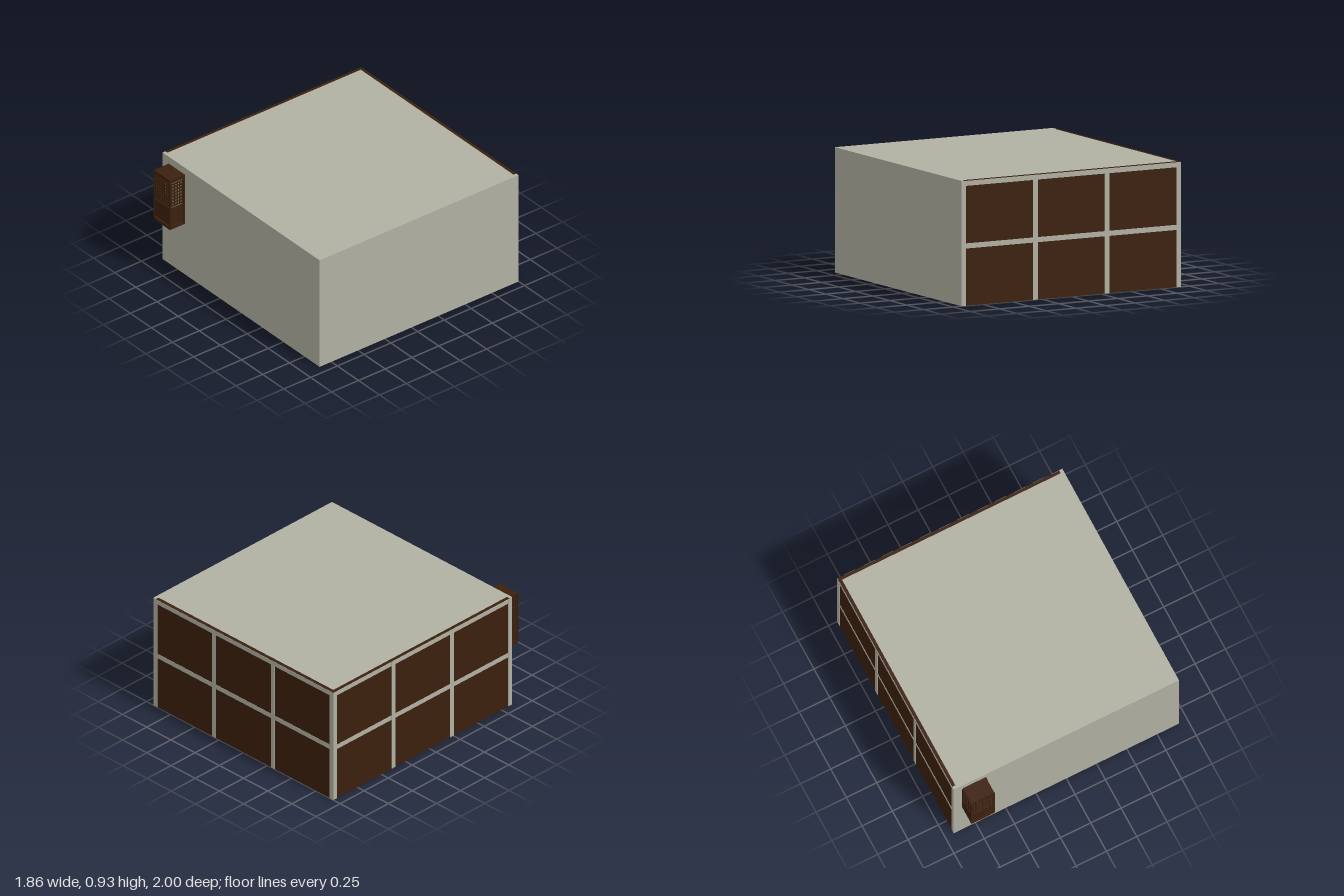
import * as THREE from 'three';

export function createModel() {
  const model = new THREE.Group();
  const plaster = new THREE.MeshStandardMaterial({ color: 0xb0b0a2 });
  plaster.name = 'greyPlaster';
  const wood = new THREE.MeshStandardMaterial({ color: 0x3b200d });
  wood.name = 'darkWood';

  // Box given by its minimum and maximum corners
  function box(name, mat, x0, x1, y0, y1, z0, z1, parent = model) {
    const mesh = new THREE.Mesh(new THREE.BoxGeometry(x1 - x0, y1 - y0, z1 - z0), mat);
    mesh.position.set((x0 + x1) / 2, (y0 + y1) / 2, (z0 + z1) / 2);
    mesh.name = name;
    parent.add(mesh);
    return mesh;
  }

  const W = 0.93, H = 0.93, B = -1, F = 0.86, T = 0.027, skin = 0.002;

  // Plain walls and roof, open underneath
  box('frontWall', plaster, -W + skin, W, 0, H, F - T, F);
  box('rightWall', plaster, W - T, W, 0, H, B + skin, F - T);
  box('roof', plaster, -W + T, W - T, H - 0.02, H, B + T, F - T);

  // Wooden walls
  box('backWoodWall', wood, -W + skin, W - T, 0, H, B + skin, B + T);
  box('sideWoodWall', wood, -W + skin, -W + T, 0, H, B + T, F - T);

  // Grid of battens on the two wooden walls: 4 uprights, 2 rails
  const bar = 0.04, len = 2 * W, top = H - 0.003;
  const battens = new THREE.Group();
  battens.name = 'battens';
  model.add(battens);
  for (let i = 0; i < 4; i++) {
    const a = (i * (len - bar)) / 3;
    box('backUpright', plaster, -W + a, -W + a + bar, 0, top, B, B + skin, battens);
    box('sideUpright', plaster, -W, -W + skin, 0, top, B + a + skin, B + a + bar, battens);
  }
  for (const [y0, y1] of [[0.425, 0.463], [H - bar, top]]) {
    for (let i = 0; i < 3; i++) {
      const a = (i * (len - bar)) / 3 + bar, b = ((i + 1) * (len - bar)) / 3;
      box('backRail', plaster, -W + a, -W + b, y0, y1, B, B + skin, battens);
      box('sideRail', plaster, -W, -W + skin, y0, y1, B + a, B + b, battens);
    }
  }

  // Wall lantern: hollow, open towards the wall
  const lantern = new THREE.Group();
  lantern.name = 'lantern';
  lantern.position.set(-0.76, 0, F);
  model.add(lantern);
  const hw = 0.1, depth = 0.14, post = 0.014;
  box('lanternCap', wood, -0.095, 0.095, 0.84, 0.87, 0, depth - 0.002, lantern);
  box('lanternBase', wood, -0.095, 0.095, 0.44, 0.465, 0, depth - 0.002, lantern);
  for (const s of [-1, 1]) {
    for (const z of [0, depth - post]) {
      const x = s * (hw - post / 2);
      box('lanternPost', wood, x - post / 2, x + post / 2, 0.463, 0.857, z, z + post, lantern);
    }
  }

  // One lantern face: lattice over a solid panel, centred on its own x
  function lanternFace(name, width, cols) {
    const face = new THREE.Group();
    face.name = name;
    const h = width / 2, t = 0.004, b = 0.0045, y0 = 0.635, y1 = 0.831, rows = 7;
    for (let i = 0; i <= cols; i++) {
      const x = -h + b + (i * (width - 2 * b)) / cols;
      box('latticeUpright', wood, x - b, x + b, y0, y1, -t, t, face);
    }
    for (let j = 0; j <= rows; j++) {
      const y = y0 + b + (j * (y1 - y0 - 2 * b)) / rows;
      box('latticeRail', wood, -h, h, y - b, y + b, -t + 0.0005, t - 0.0005, face);
    }
    box('lowerPanel', wood, -h, h, 0.478, 0.624, -t, t, face);
    lantern.add(face);
    return face;
  }
  lanternFace('lanternFront', 0.172, 6).position.z = depth - 0.007;
  for (const s of [-1, 1]) {
    const side = lanternFace('lanternSide', 0.108, 4);
    side.position.set(s * (hw - 0.007), 0, depth / 2);
    side.rotation.y = Math.PI / 2;
  }

  return model;
}
